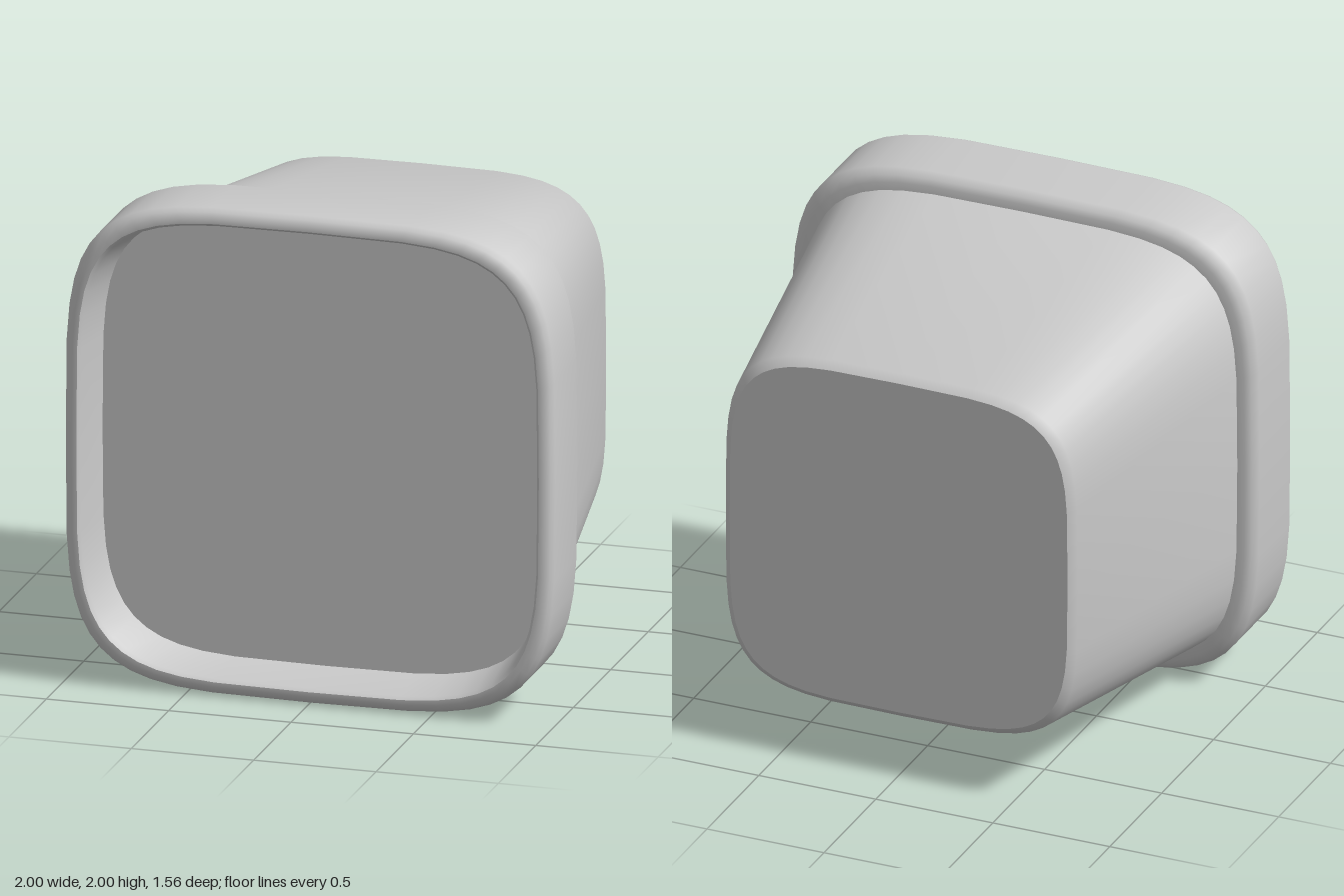
import * as THREE from 'three';
import { toCreasedNormals } from 'three/addons/utils/BufferGeometryUtils.js';

// Superellipse cross-section, counter-clockwise, half width 1
const SIDES = 48, POWER = 4.5;
const soft = v => Math.sign(v) * Math.abs(v) ** (2 / POWER);
const section = Array.from({ length: SIDES }, (_, i) => {
  const a = (i / SIDES) * Math.PI * 2;
  return new THREE.Vector2(soft(Math.cos(a)), soft(Math.sin(a)));
});

// Skin through scaled copies of the section; each ring is [half width, z]
function loft(rings) {
  const n = SIDES, positions = [], index = [];
  rings.forEach(([s, z], r) => section.forEach((p, j) => {
    positions.push(p.x * s, p.y * s, z);
    if (r === rings.length - 1) return;
    const k = (j + 1) % n, a = r * n + j, b = r * n + k;
    index.push(a, b, b + n, a, b + n, a + n);
  }));
  const g = new THREE.BufferGeometry();
  g.setAttribute('position', new THREE.Float32BufferAttribute(positions, 3));
  g.setIndex(index);
  return toCreasedNormals(g, 0.8);
}

// Flat plate with the same outline
function plate(s) {
  return new THREE.ShapeGeometry(new THREE.Shape(section.map(p => p.clone().multiplyScalar(s))));
}

export function createModel() {
  const model = new THREE.Group();
  const grey = new THREE.MeshStandardMaterial({ color: 0xcccccc });
  grey.name = 'light grey';
  const add = (name, geometry) => {
    const mesh = new THREE.Mesh(geometry, grey);
    mesh.name = name;
    mesh.position.y = 1;
    model.add(mesh);
    return mesh;
  };

  // Tapered body, with a chamfer at the closed end
  add('body', loft([[0.722, -0.78], [0.752, -0.75], [0.927, 0.42]]));
  const base = add('base', plate(0.722));
  base.rotation.y = Math.PI;
  base.position.z = -0.78;

  // Thick rounded rim, running on into the inner wall
  add('rim', loft([
    [0.9, 0.4], [0.955, 0.402], [0.98, 0.415], [1, 0.445],
    [1, 0.74], [0.988, 0.765], [0.965, 0.78],
    [0.945, 0.78], [0.934, 0.765], [0.908, 0.55],
  ]));

  // Flat panel set back inside the rim
  add('innerPanel', plate(0.908)).position.z = 0.55;

  return model;
}
